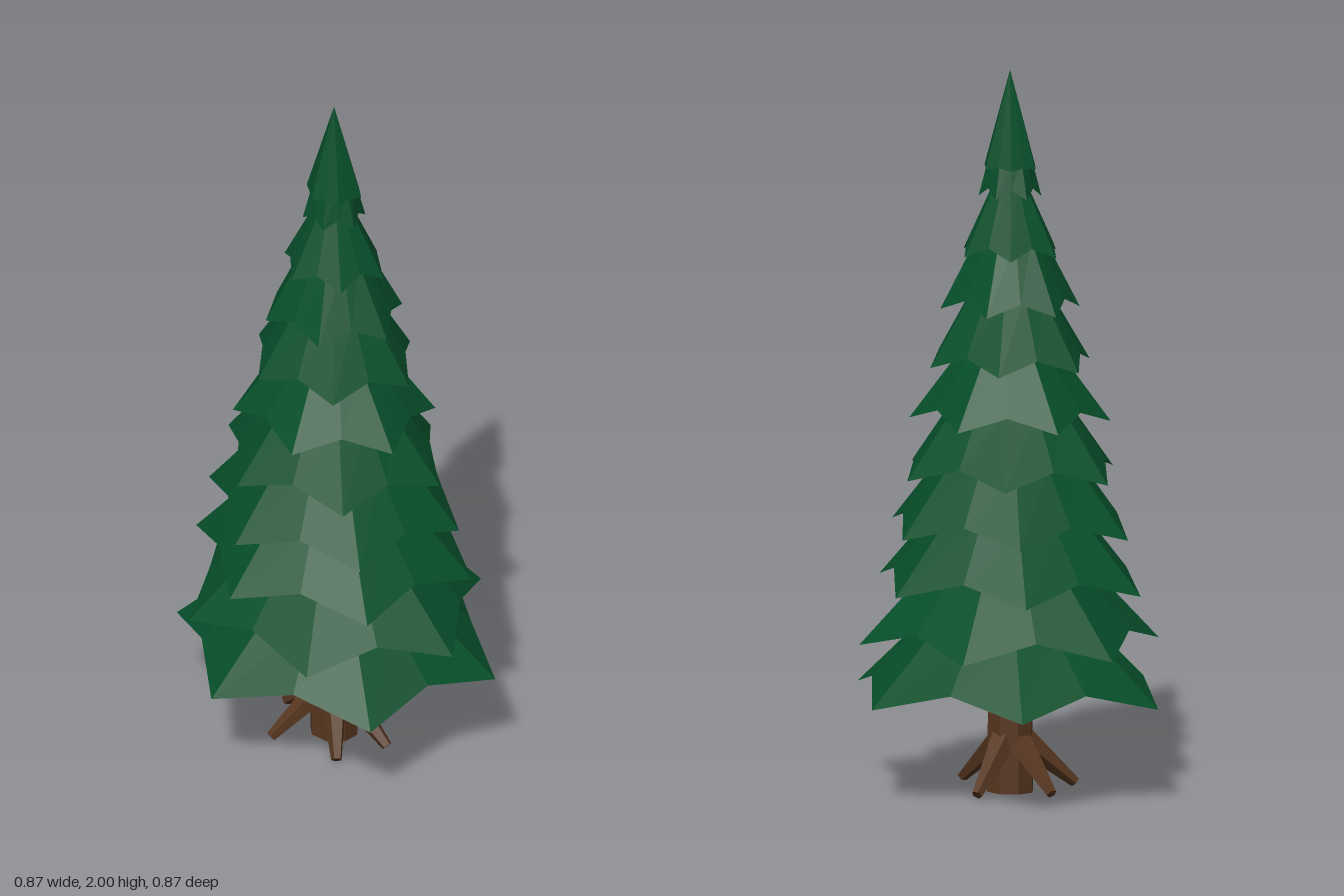
import * as THREE from 'three';

const green = new THREE.MeshStandardMaterial({ color: 0x074f2a, flatShading: true });
green.name = 'needleGreen';
const brown = new THREE.MeshStandardMaterial({ color: 0x573620, flatShading: true });
brown.name = 'barkBrown';

const CENTRE_X = -0.008;
const DEPTH = 1.08; // the tree is slightly oval in plan, deeper than wide

// Star-rimmed skirt: tips hang low, notches sit higher and further in, hollow below.
function skirt({ y, r, turn, topR, topY, notch, lift, underY }) {
  const n = 12;
  const ring = (radius, height) => Array.from({ length: n }, (_, i) => {
    const a = THREE.MathUtils.degToRad(turn + i * 30);
    const rad = radius(i % 2 === 1);
    return [Math.cos(a) * rad, height(i % 2 === 1), Math.sin(a) * rad * DEPTH];
  });
  const rim = ring(inner => (inner ? r * notch : r), inner => (inner ? y + lift : y));
  const top = ring(inner => (inner ? topR * 0.93 : topR), () => topY);
  const under = [0, underY, 0];
  const pos = [];
  for (let i = 0; i < n; i++) {
    const j = (i + 1) % n;
    pos.push(...rim[i], ...top[i], ...rim[j]);
    if (topR > 0) pos.push(...rim[j], ...top[i], ...top[j]);
    pos.push(...rim[i], ...rim[j], ...under);
  }
  const g = new THREE.BufferGeometry();
  g.setAttribute('position', new THREE.Float32BufferAttribute(pos, 3));
  g.computeVertexNormals();
  return g;
}

export function createModel() {
  const tree = new THREE.Group();
  tree.name = 'firTree';
  const add = (parent, name, geometry, material) => {
    const mesh = new THREE.Mesh(geometry, material);
    mesh.name = name;
    parent.add(mesh);
    return mesh;
  };

  // Branch tiers, bottom to top: [tip height, tip radius, turn in degrees, slope]
  const tiers = [
    [0.265, 0.438, 7.5, 1.0],
    [0.415, 0.405, 30, 1.1],
    [0.57, 0.376, 6, 1.2],
    [0.725, 0.345, 8, 1.3],
    [0.88, 0.306, 15, 1.4],
    [1.03, 0.266, 44, 1.4],
    [1.185, 0.228, 20, 1.7],
    [1.34, 0.187, 32, 2.0],
    [1.49, 0.14, 12, 2.1],
    [1.65, 0.083, 40, 4.0],
  ];
  const foliage = new THREE.Group();
  foliage.name = 'foliage';
  foliage.position.x = CENTRE_X;
  tree.add(foliage);
  tiers.forEach(([y, r, turn, slope], i) => {
    const rise = i === tiers.length - 1 ? 0.1 : 0.2;
    const tier = add(foliage, `branchTier${i + 1}`, skirt({
      y, r, turn,
      topR: r - rise / slope,
      topY: y + rise,
      notch: 0.82,
      lift: 0.02 + r * 0.08,
      underY: y + 0.07 + r * 0.3,
    }), green);
    // the lowest tiers sit closer to the middle than the leaning top
    tier.position.x = Math.max(0, 0.008 - i * 0.004);
  });

  // Pointed crown
  add(foliage, 'crown', skirt({
    y: 1.73, r: 0.076, turn: 10, topR: 0, topY: 2, notch: 0.87, lift: 0.006, underY: 1.76,
  }), green);

  // Trunk
  const trunkGeometry = new THREE.CylinderGeometry(0.057, 0.065, 0.62, 8);
  trunkGeometry.rotateY(Math.PI / 8).scale(1, 1, DEPTH);
  const trunk = add(tree, 'trunk', trunkGeometry, brown);
  trunk.position.set(CENTRE_X, 0.31, 0);

  // Roots splayed unevenly around the foot of the trunk
  const up = new THREE.Vector3(0, 1, 0);
  [85, 135, 207, 272, 340].forEach((degrees, i) => {
    const a = THREE.MathUtils.degToRad(degrees);
    const at = (r, y) => new THREE.Vector3(Math.cos(a) * r + CENTRE_X, y, Math.sin(a) * r);
    const inner = at(0.035, 0.145);
    const outer = at(0.183, 0.016);
    const dir = inner.clone().sub(outer);
    const root = add(tree, `root${i + 1}`, new THREE.CylinderGeometry(0.038, 0.015, dir.length(), 5), brown);
    root.position.copy(inner).add(outer).multiplyScalar(0.5);
    root.quaternion.setFromUnitVectors(up, dir.normalize());
  });
  return tree;
}
